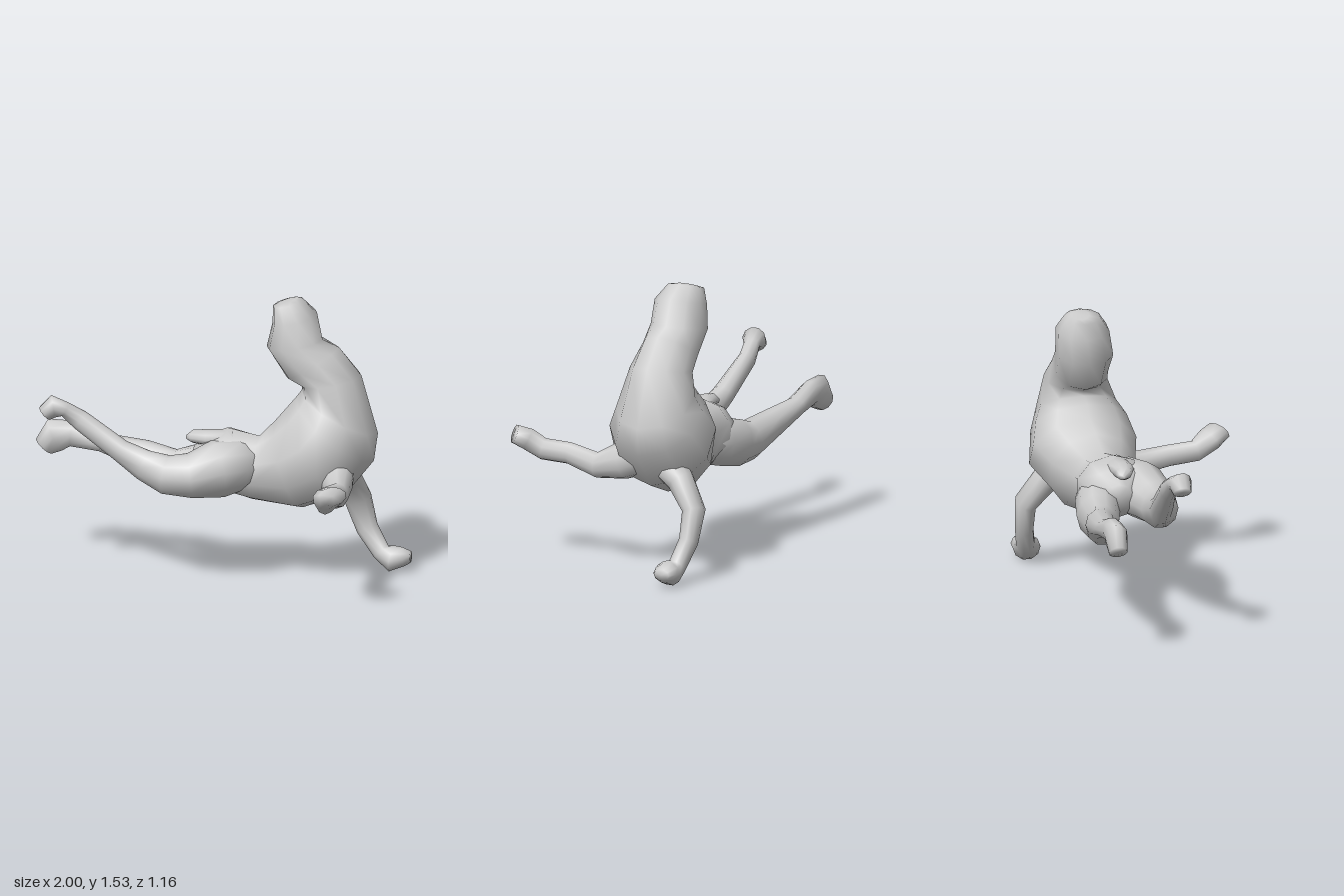
import * as THREE from 'three';

const material = new THREE.MeshStandardMaterial({ color: 0xcccccc });
const SIDES = 10;

// Skin a row of elliptical rings {c, u, v}, closing both ends with a fan.
function skin(name, rings) {
  const pos = [], index = [], n = rings.length;
  for (const { c, u, v } of rings) {
    for (let j = 0; j < SIDES; j++) {
      const a = (j / SIDES) * Math.PI * 2;
      const p = c.clone().addScaledVector(u, Math.cos(a)).addScaledVector(v, Math.sin(a));
      pos.push(p.x, p.y, p.z);
    }
  }
  pos.push(...rings[0].c.toArray(), ...rings[n - 1].c.toArray());
  const first = n * SIDES, last = first + 1;
  for (let j = 0; j < SIDES; j++) {
    const k = (j + 1) % SIDES;
    for (let i = 0; i < n - 1; i++) {
      const a = i * SIDES + j, b = i * SIDES + k;
      index.push(a, b, a + SIDES, b, b + SIDES, a + SIDES);
    }
    index.push(first, k, j, last, (n - 1) * SIDES + j, (n - 1) * SIDES + k);
  }
  const geometry = new THREE.BufferGeometry();
  geometry.setAttribute('position', new THREE.Float32BufferAttribute(pos, 3));
  geometry.setIndex(index);
  geometry.computeVertexNormals();
  const mesh = new THREE.Mesh(geometry, material);
  mesh.name = name;
  return mesh;
}

// Limb along points [x, y, z, radius along ref, radius across].
function limb(name, ref, points) {
  const centres = points.map(p => new THREE.Vector3(p[0], p[1], p[2]));
  return skin(name, points.map((p, i) => {
    const t = centres[Math.min(i + 1, points.length - 1)].clone()
      .sub(centres[Math.max(i - 1, 0)]).normalize();
    const u = ref.clone().addScaledVector(t, -t.dot(ref)).normalize();
    const v = t.clone().cross(u);
    return { c: centres[i], u: u.multiplyScalar(p[3]), v: v.multiplyScalar(p[4] ?? p[3]) };
  }));
}

// Body ring [back x, back y, belly x, belly y, centre z, half width].
function bodyRing([ax, ay, bx, by, z, w]) {
  return {
    c: new THREE.Vector3((ax + bx) / 2, (ay + by) / 2, z),
    u: new THREE.Vector3((bx - ax) / 2, (by - ay) / 2, 0),
    v: new THREE.Vector3(0, 0, w),
  };
}

export function createModel() {
  const group = new THREE.Group();
  const Y = new THREE.Vector3(0, 1, 0), Z = new THREE.Vector3(0, 0, 1);

  // Hips, waist, chest, neck and head in one skin
  group.add(skin('body', [
    [-0.12, 0.57, -0.13, 0.72, -0.20, 0.07],
    [-0.05, 0.51, -0.06, 0.79, -0.20, 0.16],
    [0.06, 0.48, 0.05, 0.83, -0.20, 0.20],
    [0.18, 0.44, 0.22, 0.79, -0.21, 0.165],
    [0.45, 0.40, 0.30, 0.87, -0.23, 0.24],
    [0.68, 0.48, 0.36, 0.94, -0.25, 0.295],
    [0.83, 0.67, 0.41, 1.00, -0.25, 0.26],
    [0.85, 0.82, 0.44, 1.04, -0.26, 0.215],
    [0.76, 1.13, 0.44, 1.07, -0.27, 0.17],
    [0.64, 1.28, 0.36, 1.10, -0.27, 0.15],
    [0.55, 1.32, 0.25, 1.27, -0.27, 0.155],
    [0.52, 1.46, 0.28, 1.40, -0.28, 0.145],
    [0.44, 1.53, 0.28, 1.49, -0.29, 0.10],
    [0.41, 1.535, 0.32, 1.505, -0.30, 0.05],
  ].map(bodyRing)));

  // Front legs: one braced down and back, one reaching forward
  group.add(limb('rightFrontLeg', Z, [
    [0.62, 0.62, -0.30, 0.10],
    [0.66, 0.52, -0.42, 0.075],
    [0.70, 0.38, -0.52, 0.06, 0.075],
    [0.75, 0.22, -0.515, 0.05, 0.06],
    [0.83, 0.10, -0.49, 0.05],
    [0.89, 0.07, -0.47, 0.075, 0.07],
    [0.95, 0.08, -0.48, 0.065, 0.05],
    [0.99, 0.08, -0.48, 0.045, 0.03],
  ]));
  group.add(limb('leftFrontLeg', Y, [
    [0.62, 0.66, -0.22, 0.12],
    [0.66, 0.59, -0.06, 0.10, 0.09],
    [0.685, 0.56, 0.07, 0.07, 0.06],
    [0.66, 0.60, 0.25, 0.06, 0.05],
    [0.675, 0.61, 0.40, 0.06, 0.05],
    [0.70, 0.66, 0.48, 0.06, 0.08],
    [0.74, 0.69, 0.54, 0.05, 0.08],
  ]));

  // Hind legs stretched behind, the left one higher
  group.add(limb('leftHindLeg', Z, [
    [0.22, 0.64, -0.20, 0.09],
    [0.12, 0.65, -0.12, 0.13, 0.14],
    [0.02, 0.64, -0.06, 0.155, 0.155],
    [-0.12, 0.61, -0.01, 0.125, 0.12],
    [-0.25, 0.61, -0.01, 0.10, 0.105],
    [-0.37, 0.65, -0.035, 0.06, 0.085],
    [-0.50, 0.72, -0.05, 0.06, 0.06],
    [-0.72, 0.87, -0.075, 0.045, 0.055],
    [-0.80, 0.93, -0.06, 0.045, 0.04],
    [-0.86, 0.95, -0.04, 0.065, 0.06],
    [-0.905, 0.91, -0.04, 0.05, 0.045],
  ]));
  group.add(limb('rightHindLeg', Z, [
    [0.20, 0.61, -0.22, 0.09],
    [0.10, 0.61, -0.26, 0.12, 0.13],
    [0.00, 0.59, -0.29, 0.12, 0.135],
    [-0.14, 0.56, -0.32, 0.115, 0.13],
    [-0.27, 0.55, -0.33, 0.09, 0.11],
    [-0.43, 0.61, -0.375, 0.08, 0.08],
    [-0.66, 0.66, -0.40, 0.06, 0.05],
    [-0.82, 0.70, -0.40, 0.055, 0.07],
    [-0.91, 0.69, -0.40, 0.06, 0.095],
    [-0.97, 0.625, -0.405, 0.05, 0.06],
  ]));

  // Short flat tail
  group.add(limb('tail', Z, [
    [0.08, 0.77, -0.19, 0.08, 0.05],
    [-0.06, 0.78, -0.17, 0.065, 0.04],
    [-0.13, 0.78, -0.18, 0.045, 0.035],
    [-0.16, 0.77, -0.20, 0.02, 0.015],
  ]));
  return group;
}
